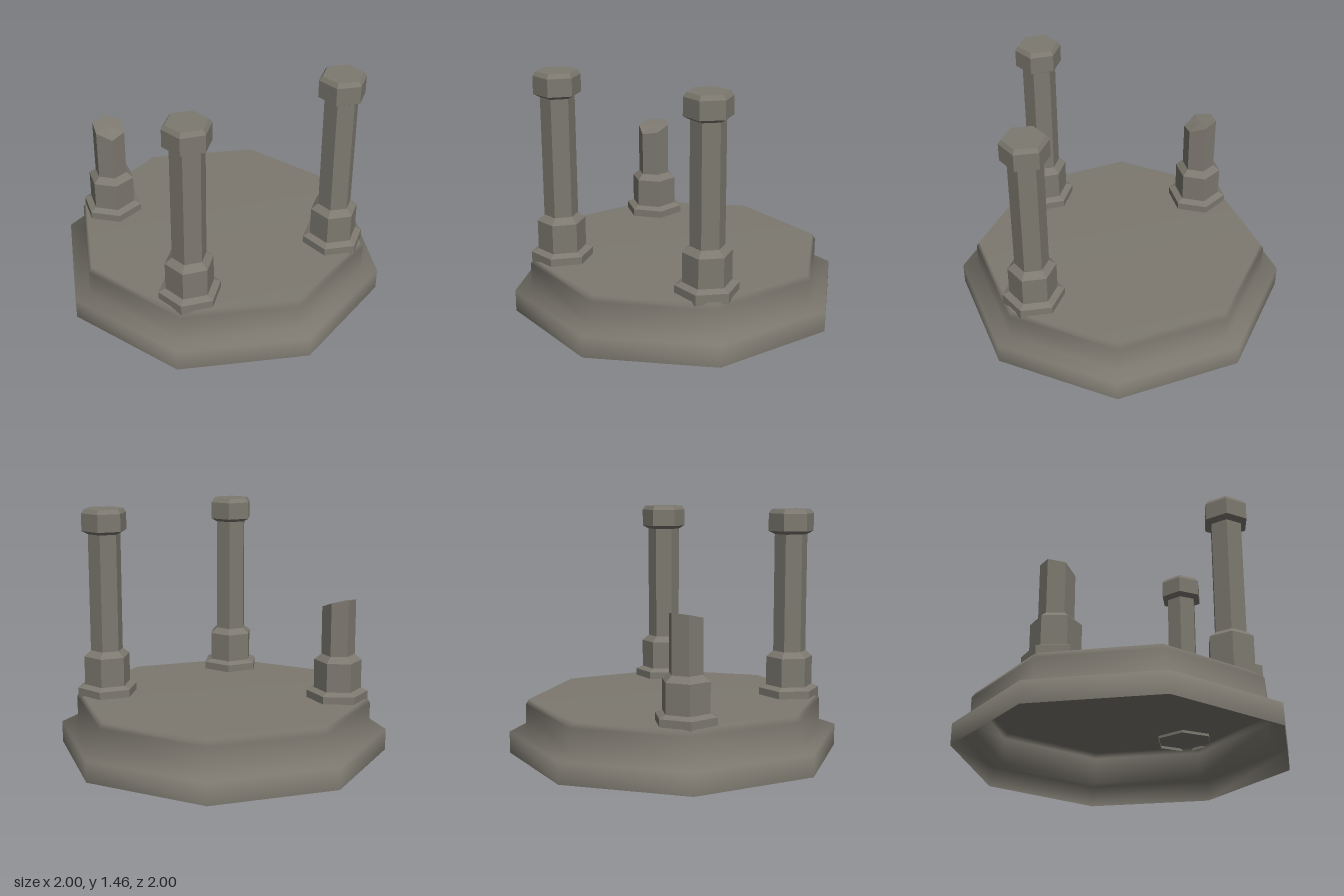
import * as THREE from 'three';

const stone = new THREE.MeshStandardMaterial({ color: 0x7d7970, side: THREE.DoubleSide });
stone.name = 'stone';

const toPoints = (list) => list.map(([r, y]) => new THREE.Vector2(r, y));

// Six-sided turned part with flat faces; angle is where a corner points, in degrees from +x to +z
function hexPart(name, profile, angle, reshape) {
  const start = THREE.MathUtils.degToRad(30 - angle);
  const lathe = new THREE.LatheGeometry(toPoints(profile), 6, start);
  if (reshape) reshape(lathe.attributes.position);
  const geometry = lathe.toNonIndexed();
  geometry.computeVertexNormals();
  const mesh = new THREE.Mesh(geometry, stone);
  mesh.name = name;
  return mesh;
}

// Slants the broken end along two planes that meet in a ridge
function breakTop(position) {
  for (let i = 0; i < position.count; i++) {
    if (position.getY(i) < 0.8) continue;
    const z = position.getZ(i);
    position.setY(i, Math.min(0.917 - 0.227 * z, 0.928 - 0.583 * z));
  }
}

function pillar(name, x, z, angle, broken) {
  const group = new THREE.Group();
  group.name = name;
  // Flange, plinth block and its sloped shoulder
  group.add(hexPart('plinth', [[0.184, 0.31], [0.184, 0.372], [0.142, 0.39], [0.142, 0.565], [0.1, 0.6]], angle));
  if (broken) {
    group.add(hexPart('brokenShaft', [[0.1, 0.6], [0.1, 0.9], [0, 0.9]], angle, breakTop));
  } else {
    group.add(hexPart('shaft', [[0.1, 0.6], [0.1, 1.31]], angle));
    group.add(hexPart('capital', [[0.1, 1.31], [0.138, 1.33], [0.138, 1.435], [0.12, 1.46], [0, 1.46]], angle));
  }
  group.position.set(x, 0, z);
  return group;
}

export function createModel() {
  const model = new THREE.Group();
  model.name = 'ruinedPlatform';

  // Eight-sided stepped platform, hollow underneath, softly shaded
  const steps = [[1, 0], [1, 0.13], [0.9, 0.13], [0.9, 0.295], [0.88, 0.327], [0, 0.327]];
  const platform = new THREE.Mesh(new THREE.LatheGeometry(toPoints(steps), 8), stone);
  platform.name = 'platform';
  model.add(platform);

  model.add(pillar('frontLeftPillar', 0.5, 0.5, 20, false));
  model.add(pillar('frontRightPillar', -0.5, 0.5, 15, false));
  model.add(pillar('brokenBackPillar', -0.49, -0.5, -17, true));
  return model;
}
